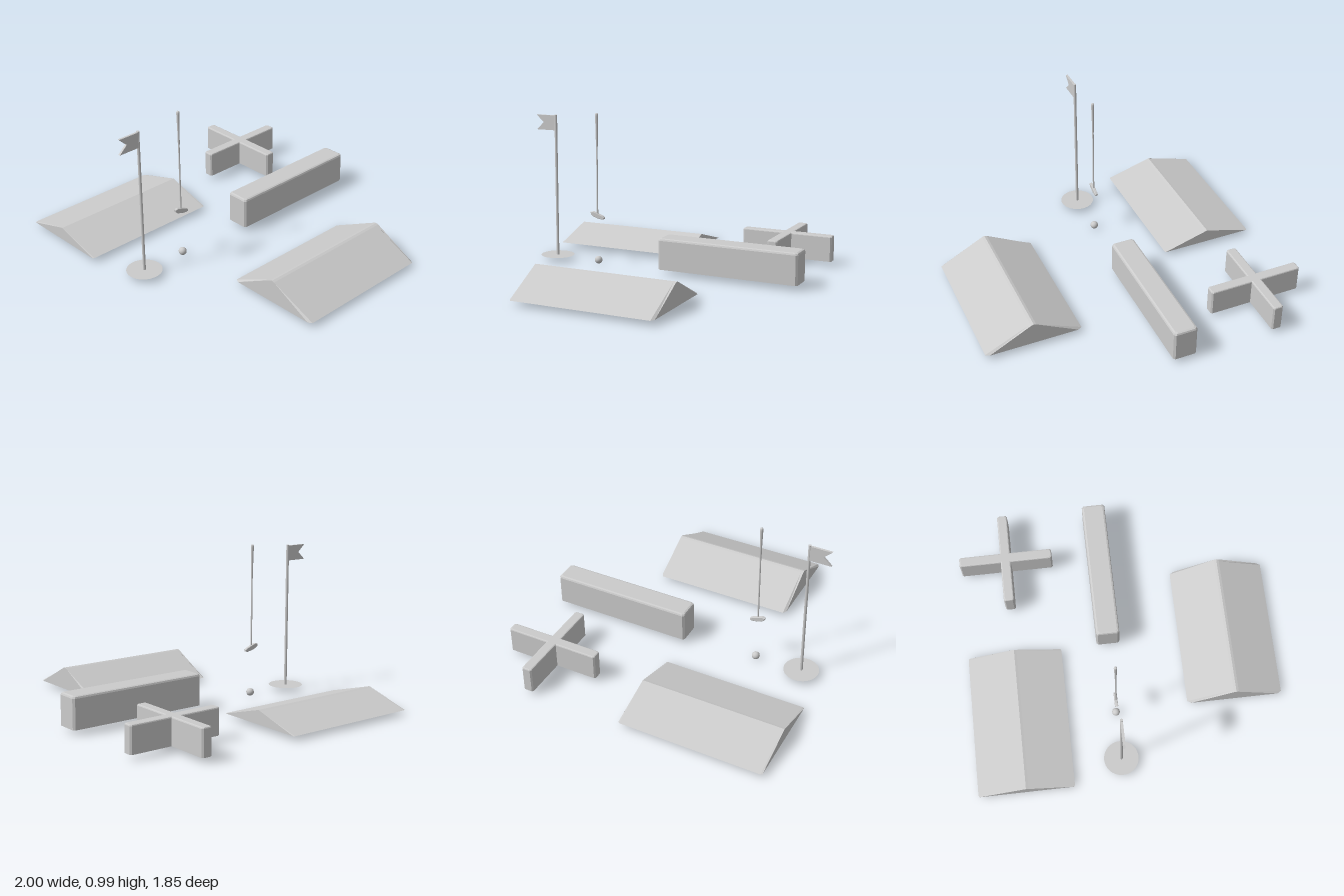
import * as THREE from 'three';

const BASE = 0.03; // ground level of the obstacles
const AXIS_X = -0.08; // ball, putter and flag stand on this line

const shellMat = new THREE.MeshStandardMaterial({ color: 0xcccccc, flatShading: true, side: THREE.DoubleSide });
const smoothMat = new THREE.MeshStandardMaterial({ color: 0xcccccc });

function mesh(name, geometry, material, x = 0, y = 0, z = 0) {
  const m = new THREE.Mesh(geometry, material);
  m.name = name;
  m.position.set(x, y, z);
  return m;
}

function buildGeometry(points, index) {
  const g = new THREE.BufferGeometry();
  g.setAttribute('position', new THREE.Float32BufferAttribute(points, 3));
  g.setIndex(index);
  const flat = g.toNonIndexed();
  flat.computeVertexNormals();
  return flat;
}

// Bottomless block: outline(inset) gives [x, z] corners, the top edge is bevelled
function shell(outline, height, bevel) {
  const rings = [[0, 0], [height - bevel, 0], [height - 0.3 * bevel, 0.3 * bevel], [height, bevel]];
  const points = [], index = [];
  const n = outline(0).length;
  rings.forEach(([y, inset], r) => {
    outline(inset).forEach(([x, z], i) => {
      points.push(x, y, z);
      if (r === 0) return;
      const a = (r - 1) * n + i, b = (r - 1) * n + (i + 1) % n;
      index.push(a, a + n, b, b, a + n, b + n);
    });
  });
  const top = outline(bevel).map(([x, z]) => new THREE.Vector2(x, z));
  const start = (rings.length - 1) * n;
  THREE.ShapeUtils.triangulateShape(top, []).forEach(([a, b, c]) => index.push(start + a, start + c, start + b));
  return buildGeometry(points, index);
}

// Rectangle with cut corners
function rectOutline(halfX, halfZ, cut) {
  return (inset) => {
    const w = halfX - inset, l = halfZ - inset;
    return [[w, -l + cut], [w, l - cut], [w - cut, l], [-w + cut, l],
      [-w, l - cut], [-w, -l + cut], [-w + cut, -l], [w - cut, -l]];
  };
}

// Plus sign: one arm turned four times
function crossOutline(length, halfWidth, cut) {
  return (inset) => {
    const l = length - inset, w = halfWidth - inset, out = [];
    for (let k = 0; k < 4; k++) {
      const c = Math.round(Math.cos(k * Math.PI / 2)), s = Math.round(Math.sin(k * Math.PI / 2));
      for (const [x, z] of [[w, -w], [l - cut, -w], [l, -w + cut], [l, w - cut], [l - cut, w]]) {
        out.push([x * c - z * s, x * s + z * c]);
      }
    }
    return out;
  };
}

// Bottomless ridged ramp with slightly narrowed ends
function ramp(halfX, halfZ, height, endCut, endLength) {
  const stations = [[-halfZ, endCut], [-halfZ + endLength, 0], [halfZ - endLength, 0], [halfZ, endCut]];
  const points = [], index = [], n = 5;
  stations.forEach(([z, cut], s) => {
    const w = halfX - cut;
    const profile = [[-w, 0], [-0.016, height - 0.005], [0, height], [0.016, height - 0.005], [w, 0]];
    profile.forEach(([x, y], i) => {
      points.push(x, y, z);
      if (s === 0 || i === n - 1) return;
      const a = (s - 1) * n + i;
      index.push(a, a + n, a + 1, a + 1, a + n, a + n + 1);
    });
  });
  // Gable ends
  const last = (stations.length - 1) * n;
  for (let i = 1; i < n - 1; i++) {
    index.push(0, i, i + 1, last, last + i + 1, last + i);
  }
  return buildGeometry(points, index);
}

// Flat outline in the z-y plane, given thickness along x
function sidePlate(outline, thickness, bevel = 0) {
  const shape = new THREE.Shape(outline.map(([z, y]) => new THREE.Vector2(-z, y)));
  const g = new THREE.ExtrudeGeometry(shape, {
    depth: thickness - 2 * bevel, bevelEnabled: bevel > 0,
    bevelSize: bevel, bevelThickness: bevel, bevelOffset: -bevel, bevelSegments: 2,
  });
  g.translate(0, 0, bevel - thickness / 2);
  g.rotateY(Math.PI / 2);
  return g;
}

function createFlag() {
  const flag = new THREE.Group();
  flag.name = 'holeFlag';
  flag.position.set(AXIS_X, 0, 0.77);
  const disc = new THREE.CircleGeometry(0.11, 40).rotateX(-Math.PI / 2);
  flag.add(mesh('holeDisc', disc, shellMat, 0, BASE, 0));
  flag.add(mesh('flagPole', new THREE.CylinderGeometry(0.009, 0.009, 0.93, 16), smoothMat, 0, 0.495, 0));
  const pennant = sidePlate([[0, 0.955], [0.14, 0.955], [0.088, 0.907], [0.14, 0.858], [0, 0.858]], 0.014);
  flag.add(mesh('pennant', pennant, shellMat));
  return flag;
}

function createPutter() {
  const putter = new THREE.Group();
  putter.name = 'putter';
  putter.position.set(AXIS_X, 0, 0.468);
  putter.add(mesh('shaft', new THREE.CylinderGeometry(0.005, 0.005, 0.48, 12), smoothMat, 0, 0.57, 0));
  const grip = [[0, 0.77], [0.006, 0.77], [0.007, 0.86], [0.01, 0.965], [0.01, 0.978], [0.007, 0.985], [0, 0.986]];
  putter.add(mesh('grip', new THREE.LatheGeometry(grip.map(([r, y]) => new THREE.Vector2(r, y)), 14), smoothMat));
  // Blade leaning down towards its toe
  const blade = [[0.048, 0.341], [0.028, 0.345], [0.002, 0.337], [-0.04, 0.32], [-0.052, 0.311],
    [-0.05, 0.3], [-0.036, 0.296], [0, 0.302], [0.03, 0.313], [0.045, 0.325]];
  putter.add(mesh('putterHead', sidePlate(blade, 0.02, 0.004), shellMat));
  return putter;
}

export function createModel() {
  const model = new THREE.Group();
  model.name = 'miniGolfSet';
  model.add(
    mesh('lowRamp', ramp(0.305, 0.46, 0.088, 0.006, 0.01), shellMat, -0.695, BASE, 0.46),
    mesh('tallRamp', ramp(0.307, 0.46, 0.145, 0.025, 0.015), shellMat, 0.693, BASE, 0),
    mesh('longBarrier', shell(rectOutline(0.076, 0.46, 0.012), 0.2, 0.014), shellMat, -0.08, BASE, -0.463),
    mesh('crossBarrier', shell(crossOutline(0.305, 0.033, 0.009), 0.167, 0.008), shellMat, -0.695, BASE, -0.62),
    mesh('ball', new THREE.SphereGeometry(0.025, 24, 16), smoothMat, AXIS_X, 0.026, 0.463),
    createFlag(),
    createPutter(),
  );
  return model;
}
